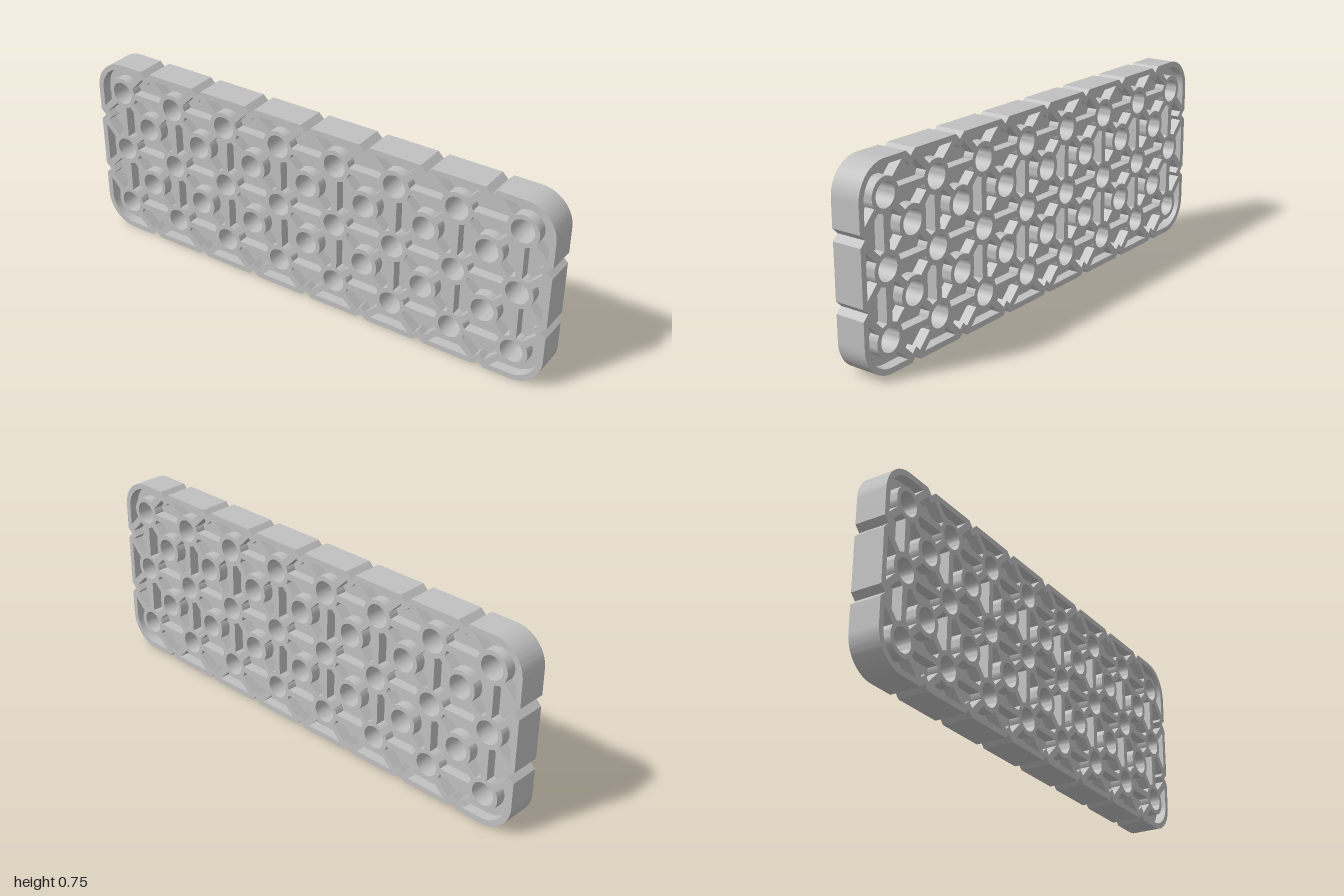
import * as THREE from 'three';
import { toCreasedNormals } from 'three/addons/utils/BufferGeometryUtils.js';

const P = 0.2508, W = 2, H = 0.746, D = 0.12; // hole pitch and overall size
const WEB = 0.04, RIM = 0.022, NOTCH = 0.022, CORNER = 0.125;
const HOLE = 0.045, RING = 0.063, RIB = 0.026;

// Rounded rectangle with V notches in its edges, moved inwards by t
function trace(path, t) {
  const tip = NOTCH + t * Math.SQRT2, half = tip - t, r = CORNER - t;
  for (let s = 0; s < 4; s++) {
    const [a, b, n] = s % 2 ? [H / 2, W / 2, 2] : [W / 2, H / 2, 7];
    const ang = s * Math.PI / 2, c = Math.round(Math.cos(ang)), q = Math.round(Math.sin(ang));
    const to = (x, y) => [x * c - y * q, x * q + y * c];
    if (s === 0) path.moveTo(...to(-a + CORNER, -b + t));
    for (let i = 0; i < n; i++) {
      const x = (i - (n - 1) / 2) * P;
      path.lineTo(...to(x - half, -b + t));
      path.lineTo(...to(x, -b + tip));
      path.lineTo(...to(x + half, -b + t));
    }
    path.absarc(...to(a - CORNER, -b + CORNER), r, ang - Math.PI / 2, ang, false);
  }
  path.closePath();
  return path;
}

const circle = (x, y, r) => new THREE.Path().absarc(x, y, r, 0, Math.PI * 2, true);

function extrude(shape, depth) {
  const g = new THREE.ExtrudeGeometry(shape, { depth, bevelEnabled: false, curveSegments: 20 });
  g.translate(0, 0, -depth / 2);
  return toCreasedNormals(g, 0.6);
}

export function createModel() {
  const group = new THREE.Group();
  const grey = new THREE.MeshStandardMaterial({ color: 0xc0c0c0 });
  grey.name = 'light grey';
  const add = (geometry, name, x = 0, y = 0, angle = 0) => {
    const mesh = new THREE.Mesh(geometry, grey);
    mesh.name = name;
    mesh.position.set(x, y + H / 2, 0);
    mesh.rotation.z = angle;
    group.add(mesh);
  };

  // Two interleaved grids of holes
  const main = [], between = [];
  for (let i = 0; i < 8; i++) for (let j = 0; j < 3; j++) main.push([(i - 3.5) * P, (j - 1) * P]);
  for (let i = 0; i < 7; i++) for (let j = 0; j < 2; j++) between.push([(i - 3) * P, (j - 0.5) * P]);
  const holes = [...main, ...between];

  // Notched outer rim
  const rim = trace(new THREE.Shape(), 0);
  rim.holes.push(trace(new THREE.Path(), RIM));
  add(extrude(rim, D), 'rim');

  // Thin perforated plate halfway through the depth
  const web = trace(new THREE.Shape(), RIM / 2);
  for (const [x, y] of holes) web.holes.push(circle(x, y, (HOLE + RING) / 2));
  add(extrude(web, WEB), 'web');

  // Raised collar around every hole
  const collar = new THREE.Shape().absarc(0, 0, RING, 0, Math.PI * 2, false);
  collar.holes.push(circle(0, 0, HOLE));
  const collarGeometry = extrude(collar, D);
  for (const [x, y] of holes) add(collarGeometry, 'collar', x, y);

  // Ribs run outwards from each main hole
  const start = RING - 0.008;
  const ribGeometry = (end) => new THREE.BoxGeometry(end - start, RIB, D).translate((start + end) / 2, 0, 0);
  const straight = ribGeometry(P - start);
  const diagonal = ribGeometry(P * Math.SQRT1_2 - start);
  const toNotch = ribGeometry(P * Math.SQRT1_2 - 0.027);
  for (const [x, y] of main) {
    if (x < 3 * P) add(straight, 'horizontalRib', x, y);
    if (y < 0.5 * P) add(straight, 'verticalRib', x, y, Math.PI / 2);
    for (const sx of [-1, 1]) for (const sy of [-1, 1]) {
      const edgeX = Math.abs(x + sx * P / 2) > 3.5 * P;
      const edgeY = Math.abs(y + sy * P / 2) > P;
      if (edgeX && edgeY) continue; // no rib into the rounded corners
      const angle = Math.atan2(sy, sx);
      add(edgeX || edgeY ? toNotch : diagonal, 'diagonalRib', x, y, angle);
    }
  }
  return group;
}
